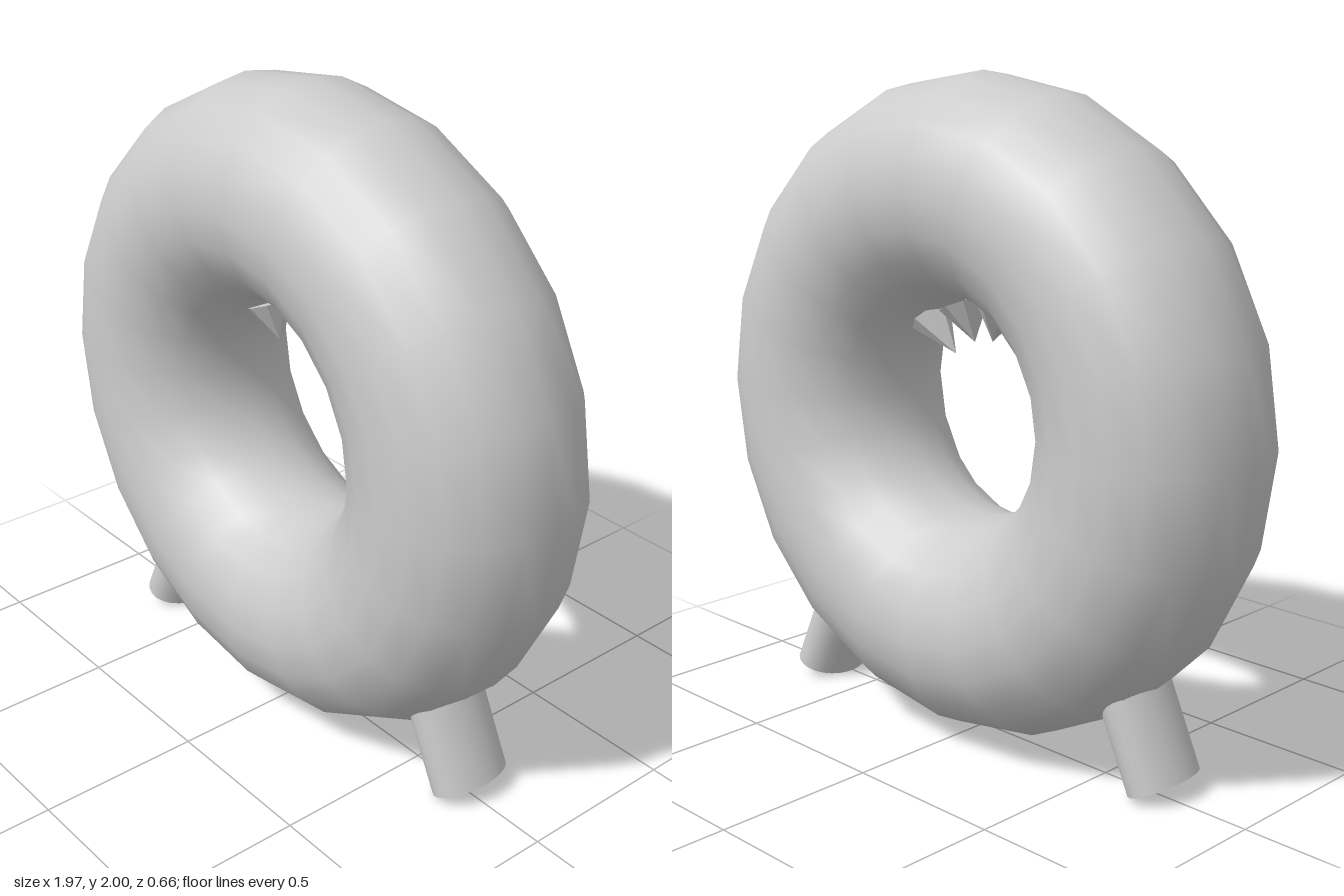
import * as THREE from 'three';

const UP = new THREE.Vector3(0, 1, 0);
const material = new THREE.MeshStandardMaterial({ color: 0xcccccc });
const facetedMaterial = new THREE.MeshStandardMaterial({ color: 0xcccccc, flatShading: true });
const CENTRE_Y = 1.013;

// Ring body, standing upright
function makeRing() {
  const ring = new THREE.Mesh(new THREE.TorusGeometry(0.658, 0.329, 20, 20), material);
  ring.name = 'ringBody';
  ring.position.y = CENTRE_Y;
  return ring;
}

// Oval leg, splayed outwards and sunk into the ring
function makeLeg(name, turn) {
  const length = 0.4;
  const foot = new THREE.Vector3(0.702, 0.037, -0.018);
  const axis = new THREE.Vector3(-0.37, 0.925, 0.05).normalize();
  const geometry = new THREE.CylinderGeometry(1, 1, length, 24);
  geometry.scale(0.088, 1, 0.129);
  geometry.translate(0, length / 2, 0);
  const leg = new THREE.Mesh(geometry, material);
  leg.position.copy(foot);
  leg.quaternion.setFromUnitVectors(UP, axis);
  const group = new THREE.Group();
  group.name = name;
  group.rotation.y = turn;
  group.add(leg);
  return group;
}

// Cone tooth with its tip at (x, y) and its base towards the given angle
function makeTooth(x, y, degrees, radius, height) {
  const geometry = new THREE.ConeGeometry(radius, height, 8);
  geometry.rotateX(Math.PI);
  geometry.translate(0, height / 2, 0);
  const tooth = new THREE.Mesh(geometry, facetedMaterial);
  tooth.name = 'tooth';
  tooth.position.set(x, y, 0);
  tooth.rotation.z = THREE.MathUtils.degToRad(degrees - 90);
  return tooth;
}

export function createModel() {
  const model = new THREE.Group();
  model.name = 'toothedRing';
  model.add(makeRing(), makeLeg('leftLeg', 0), makeLeg('rightLeg', Math.PI));

  // Uneven row of teeth along the top of the hole
  const teeth = new THREE.Group();
  teeth.name = 'teeth';
  teeth.add(
    makeTooth(-0.159, 1.16, 112, 0.075, 0.115),
    makeTooth(-0.037, 1.217, 106, 0.075, 0.115),
    makeTooth(0.037, 1.206, 68, 0.078, 0.12),
    makeTooth(0.117, 1.16, 43, 0.068, 0.15)
  );
  model.add(teeth);
  return model;
}
